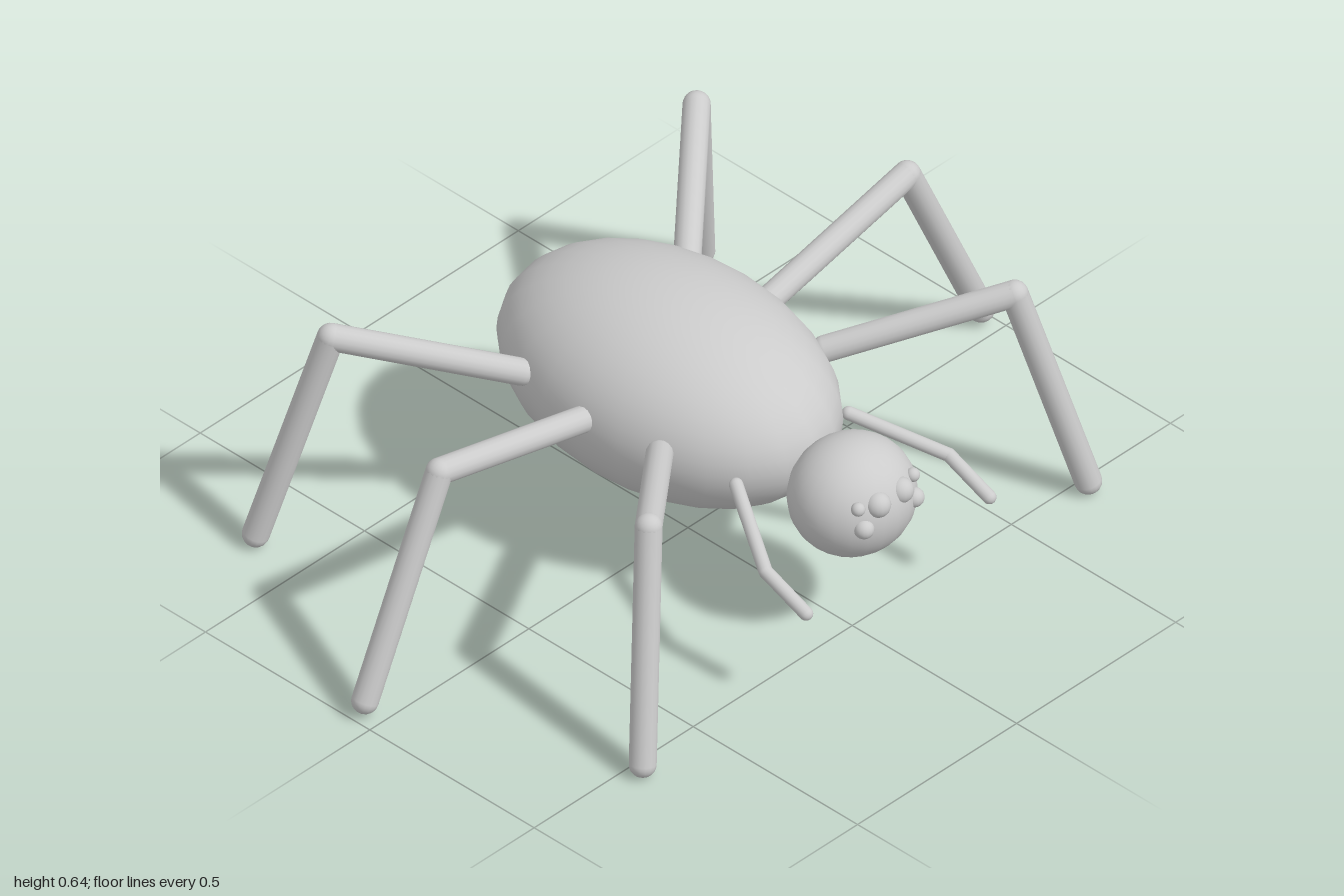
import * as THREE from 'three';

const material = new THREE.MeshStandardMaterial({ color: 0xcccccc });
const UP = new THREE.Vector3(0, 1, 0);

function ellipsoid(name, center, radii, segments = 24) {
  const mesh = new THREE.Mesh(new THREE.SphereGeometry(1, segments, segments), material);
  mesh.name = name;
  mesh.position.set(...center);
  mesh.scale.set(...radii);
  return mesh;
}

// Round-ended rod between two points
function rod(name, from, to, radius) {
  const a = new THREE.Vector3(...from);
  const b = new THREE.Vector3(...to);
  const mesh = new THREE.Mesh(new THREE.CapsuleGeometry(radius, a.distanceTo(b), 6, 16), material);
  mesh.name = name;
  mesh.position.copy(a).lerp(b, 0.5);
  mesh.quaternion.setFromUnitVectors(UP, b.sub(a).normalize());
  return mesh;
}

// Two-part limb, bent at the middle point
function limb(name, points, radius, side) {
  const group = new THREE.Group();
  group.name = name;
  const [root, knee, tip] = points.map(([x, y, z]) => [x * side, y, z]);
  group.add(rod('upperSegment', root, knee, radius), rod('lowerSegment', knee, tip, radius));
  return group;
}

const LEGS = {
  FrontLeg: [[0.26, 0.44, 0.165], [0.575, 0.564, 0.437], [0.7, 0.031, 0.54]],
  MiddleLeg: [[0.26, 0.43, -0.045], [0.735, 0.544, -0.045], [0.968, 0.04, -0.045]],
  BackLeg: [[0.26, 0.44, -0.255], [0.575, 0.564, -0.53], [0.7, 0.031, -0.637]],
};
const PALP = [[0.177, 0.391, 0.318], [0.288, 0.32, 0.515], [0.288, 0.27, 0.638]];

// Eye positions and radii on one side of the face
const EYES = [
  [0.036, 0.417, 0.612, 0.03],
  [0.086, 0.425, 0.601, 0.016],
  [0.079, 0.373, 0.612, 0.023],
];

export function createModel() {
  const model = new THREE.Group();
  model.name = 'spider';
  model.add(
    ellipsoid('body', [0, 0.398, -0.055], [0.295, 0.238, 0.445]),
    ellipsoid('head', [0, 0.367, 0.5], [0.148, 0.138, 0.14]),
  );

  // Legs, feelers and eyes, mirrored
  for (const [prefix, side] of [['left', 1], ['right', -1]]) {
    for (const [name, points] of Object.entries(LEGS)) {
      model.add(limb(prefix + name, points, 0.031, side));
    }
    model.add(limb(prefix + 'Feeler', PALP, 0.016, side));
    EYES.forEach(([x, y, z, r], i) => {
      model.add(ellipsoid(`${prefix}Eye${i + 1}`, [x * side, y, z], [r, r, r], 16));
    });
  }
  return model;
}
